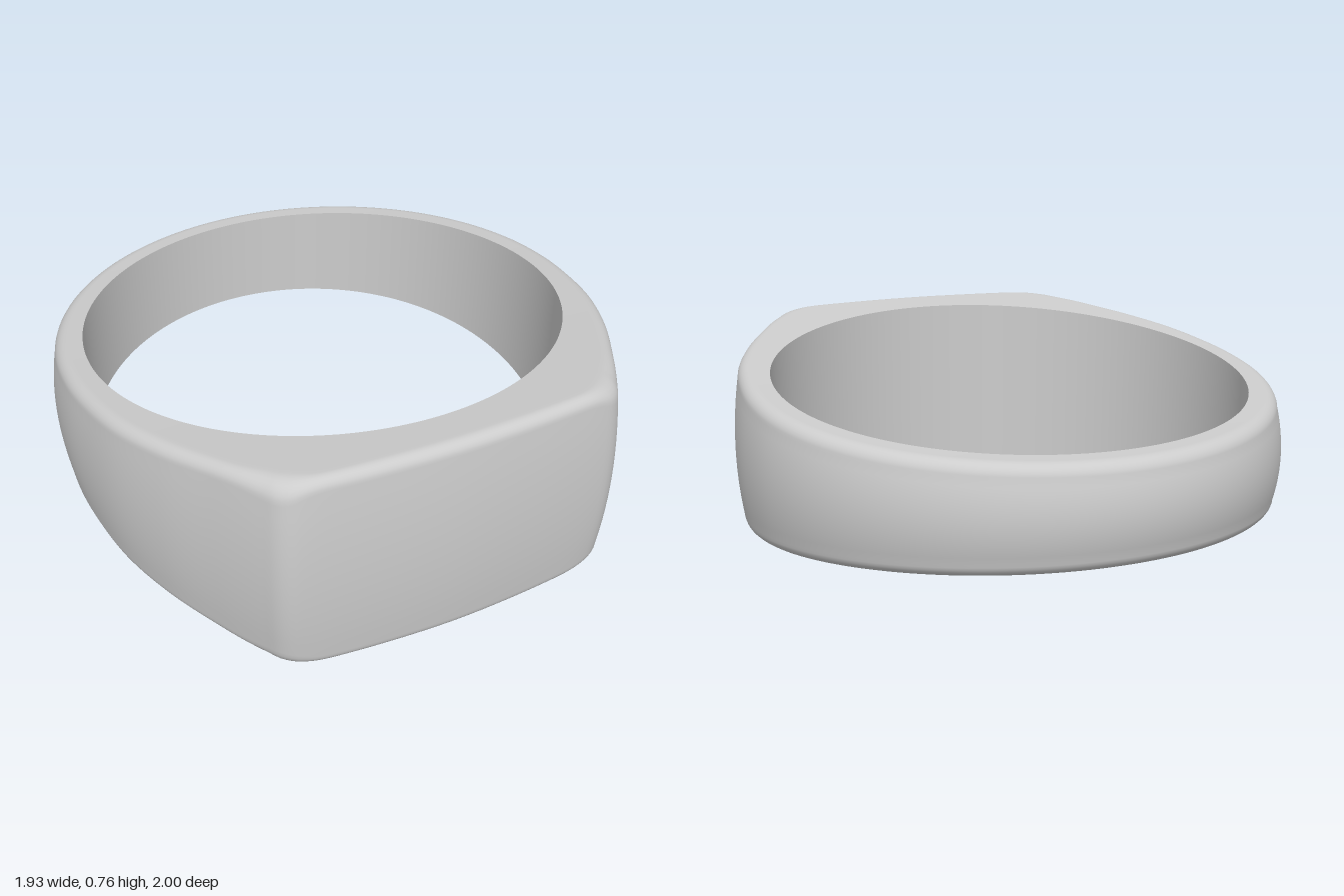
import * as THREE from 'three';

const CENTRE_Z = -0.037; // centre of the finger hole
const HOLE = 0.843;
const MID_Y = 0.379;
const STEPS = 320;

// half height of the band, tapering from the face to the back
const halfHeight = (z) => 0.258 + 0.111 * z + 0.02 * z * z;

// outer outline seen from above, a round back running into a flat face
function outline() {
  const half = [];
  for (let i = 0; i <= 8; i++) {
    const a = (i / 8) * Math.PI / 2;
    half.push([0.963 * Math.sin(a), CENTRE_Z - 0.963 * Math.cos(a)]);
  }
  half.push([0.953, 0.13], [0.912, 0.34], [0.83, 0.545], [0.725, 0.73], [0.627, 0.89],
    [0.602, 0.927], [0.567, 0.952], [0.52, 0.963], [0.3, 0.987], [0, 1]);
  const mirrored = half.slice(1, -1).reverse().map(([x, z]) => [-x, z]);
  const curve = new THREE.CatmullRomCurve3(
    [...half, ...mirrored].map(([x, z]) => new THREE.Vector3(x, 0, z)), true, 'centripetal');
  curve.arcLengthDivisions = 1500;
  return curve.getSpacedPoints(STEPS).slice(0, STEPS);
}

// closed loop surface from equal-length rows of points
function loft(rows) {
  const n = rows[0].length;
  const index = [];
  for (let i = 0; i < rows.length; i++) {
    const k = (i + 1) % rows.length;
    for (let j = 0; j < n - 1; j++) {
      const a = i * n + j, b = a + 1, c = k * n + j, d = c + 1;
      index.push(a, b, c, b, d, c);
    }
  }
  const geometry = new THREE.BufferGeometry().setFromPoints(rows.flat());
  geometry.setIndex(index);
  geometry.computeVertexNormals();
  return geometry;
}

// cross-section at one outline point: crowned outside, rounded edges, flat rims
function section(p) {
  const radius = Math.hypot(p.x, p.z - CENTRE_Z);
  const dx = p.x / radius, dz = (p.z - CENTRE_Z) / radius;
  const corner = Math.exp(-(((Math.abs(p.x) - 0.59) / 0.07) ** 2)) * (p.z > 0.7 ? 1 : 0);
  const round = 0.045 + 0.03 * corner;
  const crown = 0.02;
  const at = (r, y) => {
    const z = CENTRE_Z + dz * r;
    return new THREE.Vector3(dx * r, MID_Y + y(halfHeight(z)), z);
  };
  const upper = [];
  for (let i = 1; i <= 6; i++) {
    const t = i / 6;
    upper.push([radius - crown * t * t, (h) => (h - round) * t]);
  }
  for (let i = 1; i <= 7; i++) {
    const a = (i / 7) * Math.PI / 2;
    upper.push([radius - crown - round * (1 - Math.cos(a)), (h) => h - round * (1 - Math.sin(a))]);
  }
  const rim = radius - crown - round;
  for (const t of [0.1, 0.4, 0.7, 1]) upper.push([rim + (HOLE - rim) * t, (h) => h]);
  const top = upper.map(([r, y]) => at(r, y));
  const bottom = upper.map(([r, y]) => at(r, (h) => -y(h))).reverse();
  return [...bottom, at(radius, () => 0), ...top];
}

export function createModel() {
  const group = new THREE.Group();
  group.name = 'signetRing';
  const metal = new THREE.MeshStandardMaterial({ color: 0xcccccc });
  metal.name = 'grey metal';

  const rows = outline().map(section);
  const add = (name, geometry) => {
    const mesh = new THREE.Mesh(geometry, metal);
    mesh.name = name;
    group.add(mesh);
  };
  // outside of the band with its face and both rims
  add('bandAndFace', loft(rows));
  // inside wall, separate so its edges stay sharp
  add('innerWall', loft(rows.map((row) => [row[row.length - 1].clone(), row[0].clone()])));
  return group;
}
